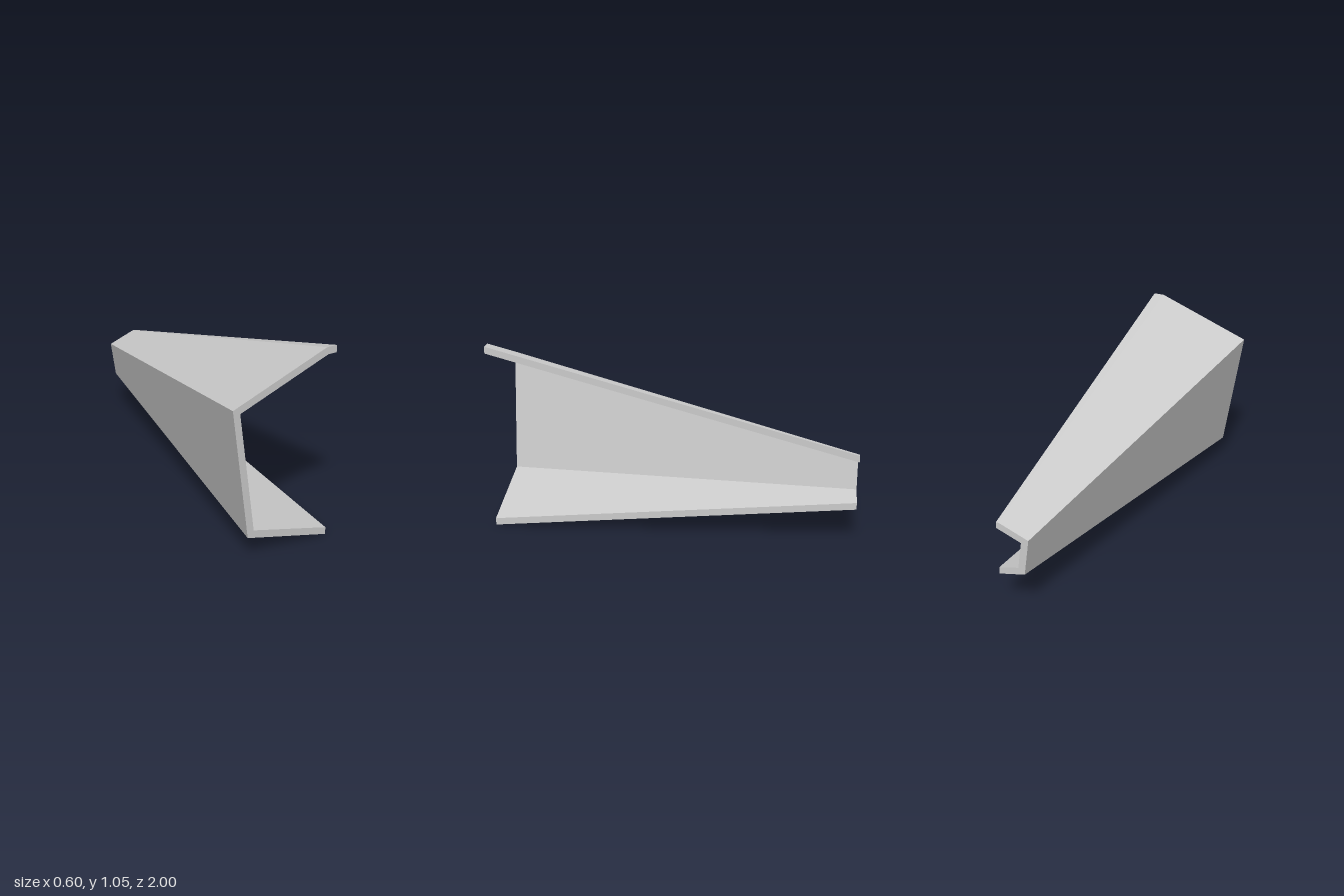
import * as THREE from 'three';

// Cross-sections, counter-clockwise from the front: five outer corners, then five inner ones
const FRONT = [
  [0.3, 1.05], [0.24, 1.05], [-0.302, 0.84], [-0.195, 0.132], [0.3, 0.003],
  [0.3, 0.043], [-0.16, 0.165], [-0.26, 0.815], [0.25, 1.012], [0.3, 1.012],
];
const BACK = [
  [0.3, 0.528], [0.283, 0.528], [0.12, 0.465], [0.152, 0.253], [0.3, 0.217],
  [0.3, 0.256], [0.187, 0.285], [0.163, 0.441], [0.293, 0.491], [0.3, 0.491],
];

// Lofts the two sections into a closed, sharp-edged tapering channel
function channelGeometry(front, back, halfLength) {
  const n = front.length;
  const positions = [];
  const f = (i) => [...front[i % n], halfLength];
  const b = (i) => [...back[i % n], -halfLength];
  const quad = (p, q, r, s) => positions.push(...p, ...q, ...r, ...p, ...r, ...s);

  // Long faces, outside, inside and along both lips
  for (let i = 0; i < n; i++) quad(f(i), b(i), b(i + 1), f(i + 1));

  // End faces, joining each outer edge to the inner edge facing it
  for (let i = 0; i < n / 2 - 1; i++) {
    quad(f(i), f(i + 1), f(n - 2 - i), f(n - 1 - i));
    quad(b(n - 1 - i), b(n - 2 - i), b(i + 1), b(i));
  }

  const geometry = new THREE.BufferGeometry();
  geometry.setAttribute('position', new THREE.Float32BufferAttribute(positions, 3));
  geometry.computeVertexNormals();
  return geometry;
}

export function createModel() {
  const group = new THREE.Group();
  group.name = 'taperedChannel';

  const lightGrey = new THREE.MeshStandardMaterial({ color: 0xcccccc });
  lightGrey.name = 'light grey';
  lightGrey.flatShading = true;

  // Folded plate: top flange, slanted web and bottom flange in one piece
  const channel = new THREE.Mesh(channelGeometry(FRONT, BACK, 1), lightGrey);
  channel.name = 'channelPlate';
  group.add(channel);
  return group;
}
